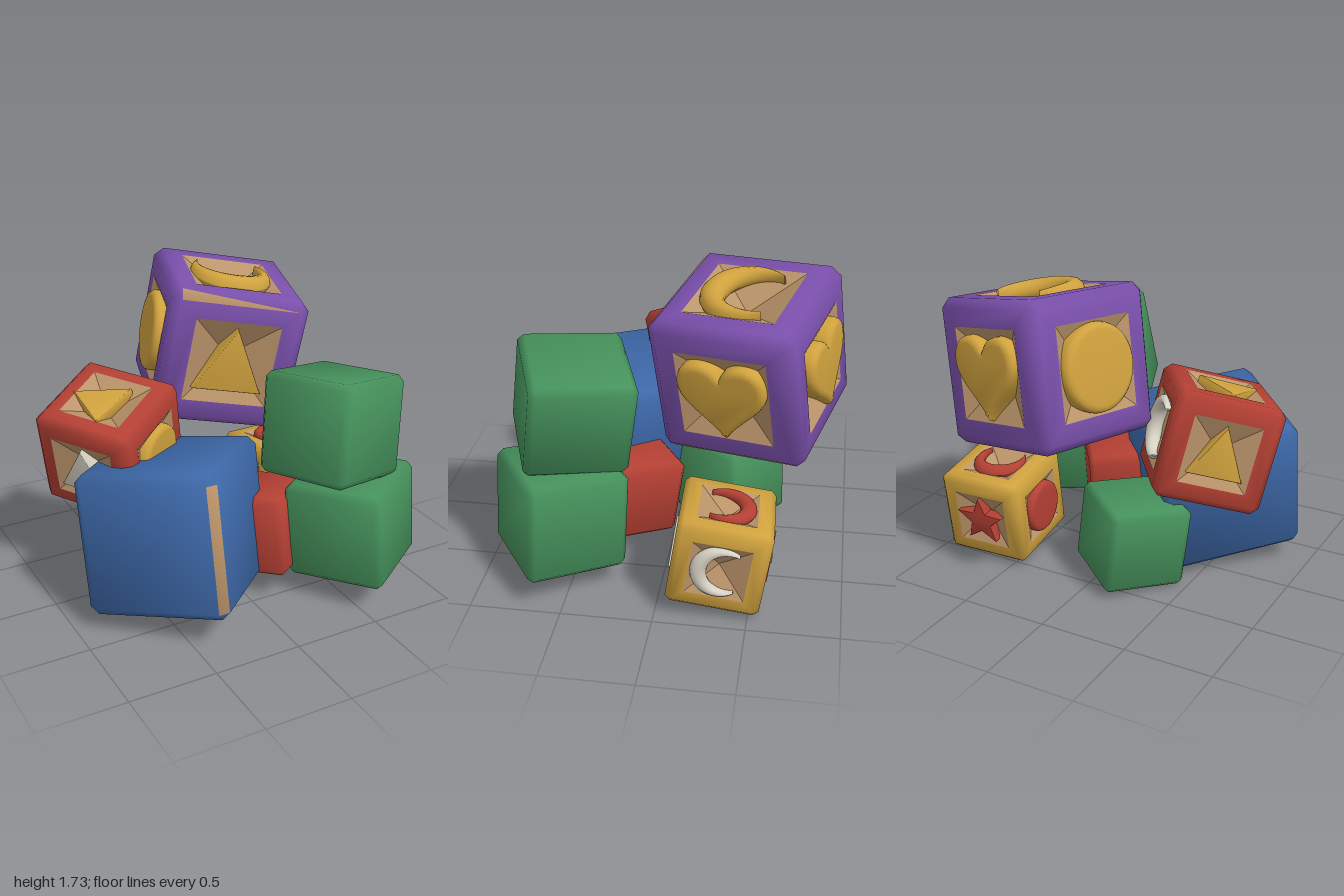
import * as THREE from 'three';
import { toCreasedNormals } from 'three/addons/utils/BufferGeometryUtils.js';
import { ConvexGeometry } from 'three/addons/geometries/ConvexGeometry.js';

const mat = (name, color) => {
  const m = new THREE.MeshStandardMaterial({ color, side: THREE.DoubleSide });
  m.name = name;
  return m;
};
const M = {
  purple: mat('purple paint', 0x7a50ac),
  blue: mat('blue paint', 0x3d68a8),
  green: mat('green paint', 0x46925c),
  red: mat('red paint', 0xb54034),
  yellow: mat('yellow paint', 0xd0a23e),
  white: mat('off-white paint', 0xd8d2c4),
  wood: mat('bare wood', 0xbb946a),
};

// Turns that bring a +z panel onto each side of a block
const SIDES = {
  front: [0, 0, [0, 0, 1]], back: [0, Math.PI, [0, 0, -1]],
  left: [0, Math.PI / 2, [1, 0, 0]], right: [0, -Math.PI / 2, [-1, 0, 0]],
  top: [-Math.PI / 2, 0, [0, 1, 0]],
};

// Relief shapes for a recess that spans -1..1: outline, bevel and height above the face
const polygon = pts => new THREE.Shape(pts.map(p => new THREE.Vector2(...p)));
const square = s => [[-s, -s], [s, -s], [s, s], [-s, s]];
const RELIEFS = {
  triangle: [polygon([[-0.82, -0.68], [0.82, -0.68], [0, 0.85]]), 0.05, 0.06],
  star: [polygon(Array.from({ length: 10 }, (_, i) => {
    const a = Math.PI / 2 + i * Math.PI / 5, r = i % 2 ? 0.42 : 0.95;
    return [r * Math.cos(a), r * Math.sin(a)];
  })), 0.03, 0.12],
  circle: [new THREE.Shape().absarc(0, 0, 0.95, 0, Math.PI * 2), 0.15, 0.17],
  heart: [new THREE.Shape().moveTo(0, 0.57)
    .bezierCurveTo(0.2, 0.98, 0.98, 0.98, 0.97, 0.3)
    .bezierCurveTo(0.96, -0.15, 0.35, -0.45, 0, -0.94)
    .bezierCurveTo(-0.35, -0.45, -0.96, -0.15, -0.97, 0.3)
    .bezierCurveTo(-0.98, 0.98, -0.2, 0.98, 0, 0.57), 0.14, 0.17],
};

// Crescent: a ring segment that thins toward both horns and keeps its outer edge round
function crescent() {
  const arc = Math.PI * 1.45, g = new THREE.TorusGeometry(0.66, 0.28, 12, 40, arc);
  const p = g.attributes.position;
  for (let i = 0; i < p.count; i++) {
    const u = (Math.atan2(p.getY(i), p.getX(i)) + Math.PI * 2) % (Math.PI * 2);
    const s = Math.max(0.03, Math.sin(Math.PI * u / arc)) ** 0.75;
    const r = 0.95 - 0.28 * s + (Math.hypot(p.getX(i), p.getY(i)) - 0.66) * s;
    p.setXYZ(i, r * Math.cos(u), r * Math.sin(u), p.getZ(i) * (0.4 + 0.5 * s) - 0.05);
  }
  g.computeVertexNormals();
  return g.rotateZ(Math.PI - arc / 2);
}

function relief(kind, r) {
  if (kind === 'crescent') return crescent().scale(r, r, r);
  const [shape, bevel, top] = RELIEFS[kind];
  const g = new THREE.ExtrudeGeometry(shape, {
    depth: 0.35, bevelThickness: bevel, bevelSize: bevel, bevelOffset: -bevel,
    bevelSegments: 3, curveSegments: 20,
  });
  g.translate(0, 0, top - 0.35 - bevel);
  g.scale(r, r, r);
  return toCreasedNormals(g, 0.8);
}

// Geometry from loose triangles; normals bend softly outward near the edges
function softGeometry(pos, h) {
  const g = new THREE.BufferGeometry();
  const n = new THREE.Vector3(), normals = [];
  for (let i = 0; i < pos.length; i += 3) {
    n.fromArray(pos, i);
    for (const k of ['x', 'y', 'z']) n[k] = Math.sign(n[k]) * Math.pow(Math.abs(n[k]) / h, 8);
    normals.push(...n.normalize().toArray());
  }
  g.setAttribute('position', new THREE.Float32BufferAttribute(pos, 3));
  g.setAttribute('normal', new THREE.Float32BufferAttribute(normals, 3));
  return g;
}

// Chamfered block; bare / worn = directions of fully / half unpainted faces,
// reliefs = side: [kind, colour, turn]
function block({ name, color, at, x, z, h, bevel, bare = [], worn = [], reliefs = {} }) {
  const group = new THREE.Group();
  group.name = name;
  const add = (geo, material, part) => {
    const m = new THREE.Mesh(geo, material);
    m.name = part;
    group.add(m);
  };

  // Hull of the chamfered cube, sorted by face direction
  const pts = [], e = h - bevel;
  for (const sx of [-1, 1]) for (const sy of [-1, 1]) for (const sz of [-1, 1]) {
    pts.push(new THREE.Vector3(sx * h, sy * e, sz * e), new THREE.Vector3(sx * e, sy * h, sz * e),
      new THREE.Vector3(sx * e, sy * e, sz * h));
  }
  const hull = new ConvexGeometry(pts).attributes.position;
  const open = Object.keys(reliefs).map(s => SIDES[s][2].join());
  const [bareKeys, wornKeys] = [bare, worn].map(list => list.map(d => d.join()));
  const painted = [], wood = [];
  const tri = new THREE.Triangle(), n = new THREE.Vector3();
  for (let i = 0; i < hull.count; i += 3) {
    tri.setFromAttributeAndIndices(hull, i, i + 1, i + 2);
    tri.getNormal(n);
    const key = n.toArray().map(v => Math.abs(v) < 0.3 ? 0 : Math.sign(v)).join();
    if (open.includes(key)) continue;
    const isWood = bareKeys.includes(key) || (wornKeys.includes(key) && tri.a.x + tri.b.x + tri.c.x < 0);
    for (const p of [tri.a, tri.b, tri.c]) (isWood ? wood : painted).push(p.x, p.y, p.z);
  }

  // Framed sides with a sunken wooden recess and a raised shape
  const r = h * 0.63, depth = r * 0.5;
  for (const [side, [kind, paint, turn = 0]] of Object.entries(reliefs)) {
    const [rx, ry] = SIDES[side];
    const place = new THREE.Matrix4().makeRotationFromEuler(new THREE.Euler(rx, ry, 0))
      .multiply(new THREE.Matrix4().makeTranslation(0, 0, h));
    const frame = polygon(square(e));
    frame.holes.push(polygon(square(r).reverse()));
    painted.push(...new THREE.ShapeGeometry(frame).toNonIndexed().applyMatrix4(place).attributes.position.array);

    const pit = new THREE.ConeGeometry(r * Math.SQRT2, depth, 4, 1, true)
      .rotateY(Math.PI / 4).rotateX(-Math.PI / 2).translate(0, 0, -depth / 2).toNonIndexed();
    pit.computeVertexNormals();
    add(pit.applyMatrix4(place), M.wood, side + 'Recess');
    add(relief(kind, r).rotateZ(turn).applyMatrix4(place), M[paint], side + 'Relief');
  }
  add(softGeometry(painted, h), M[color], 'body');
  if (wood.length) add(softGeometry(wood, h), M.wood, 'bareWood');

  // Tilt from the block's own left and front directions
  const ax = new THREE.Vector3(...x).normalize();
  const ay = new THREE.Vector3(...z).cross(ax).normalize();
  const az = ax.clone().cross(ay);
  group.quaternion.setFromRotationMatrix(new THREE.Matrix4().makeBasis(ax, ay, az));
  group.position.set(...at);
  return group;
}

const BLOCKS = [
  {
    name: 'purpleBlock', color: 'purple', at: [0.28, 1.25, -0.44], x: [0.94, -0.18, 0.28], z: [-0.31, -0.05, 0.95],
    h: 0.4, bevel: 0.05, bare: [[1, -1, 0]], worn: [[0, 1, 1]],
    reliefs: {
      front: ['triangle', 'yellow'], left: ['heart', 'yellow'], back: ['heart', 'yellow'],
      right: ['circle', 'yellow'], top: ['crescent', 'yellow', Math.PI / 2],
    },
  },
  {
    name: 'blueBlock', color: 'blue', at: [-0.38, 0.495, 0.28], x: [0.71, -0.12, -0.68], z: [0.63, 0.15, 0.76],
    h: 0.4, bevel: 0.045, bare: [[-1, 0, 1]],
  },
  {
    name: 'upperRedBlock', color: 'red', at: [-0.56, 0.87, -0.14], x: [0.8, 0.26, -0.54], z: [0.56, -0.08, 0.83],
    h: 0.297, bevel: 0.04,
    reliefs: {
      top: ['triangle', 'yellow', -2.18], left: ['crescent', 'white'], front: ['circle', 'yellow'],
      right: ['triangle', 'white'], back: ['triangle', 'yellow'],
    },
  },
  {
    name: 'yellowBlock', color: 'yellow', at: [0.68, 0.305, -0.335], x: [1, 0, -0.04], z: [0.04, 0.15, 0.99],
    h: 0.255, bevel: 0.03,
    reliefs: {
      top: ['crescent', 'red', -Math.PI / 2], left: ['crescent', 'white'], front: ['triangle', 'white'],
      right: ['circle', 'red'], back: ['star', 'red'],
    },
  },
  {
    name: 'upperGreenBlock', color: 'green', at: [0.49, 1.01, 0.5], x: [0.93, -0.18, -0.35], z: [0.32, 0.1, 0.94],
    h: 0.285, bevel: 0.035,
  },
  {
    name: 'lowerGreenBlock', color: 'green', at: [0.605, 0.42, 0.565], x: [0.83, 0.02, -0.56], z: [0.55, 0.07, 0.83],
    h: 0.285, bevel: 0.035, bare: [[0, -1, 0]],
  },
  {
    name: 'lowerRedBlock', color: 'red', at: [0.19, 0.35, 0.26], x: [0.81, -0.07, -0.58], z: [0.57, 0.13, 0.81],
    h: 0.23, bevel: 0.03,
  },
  {
    name: 'smallGreenBlock', color: 'green', at: [-0.17, 0.265, -0.3], x: [0.78, 0.07, 0.62], z: [-0.62, -0.09, 0.78],
    h: 0.238, bevel: 0.03,
  },
];

export function createModel() {
  const model = new THREE.Group();
  model.name = 'toyBlockPile';
  for (const b of BLOCKS) model.add(block(b));
  return model;
}
